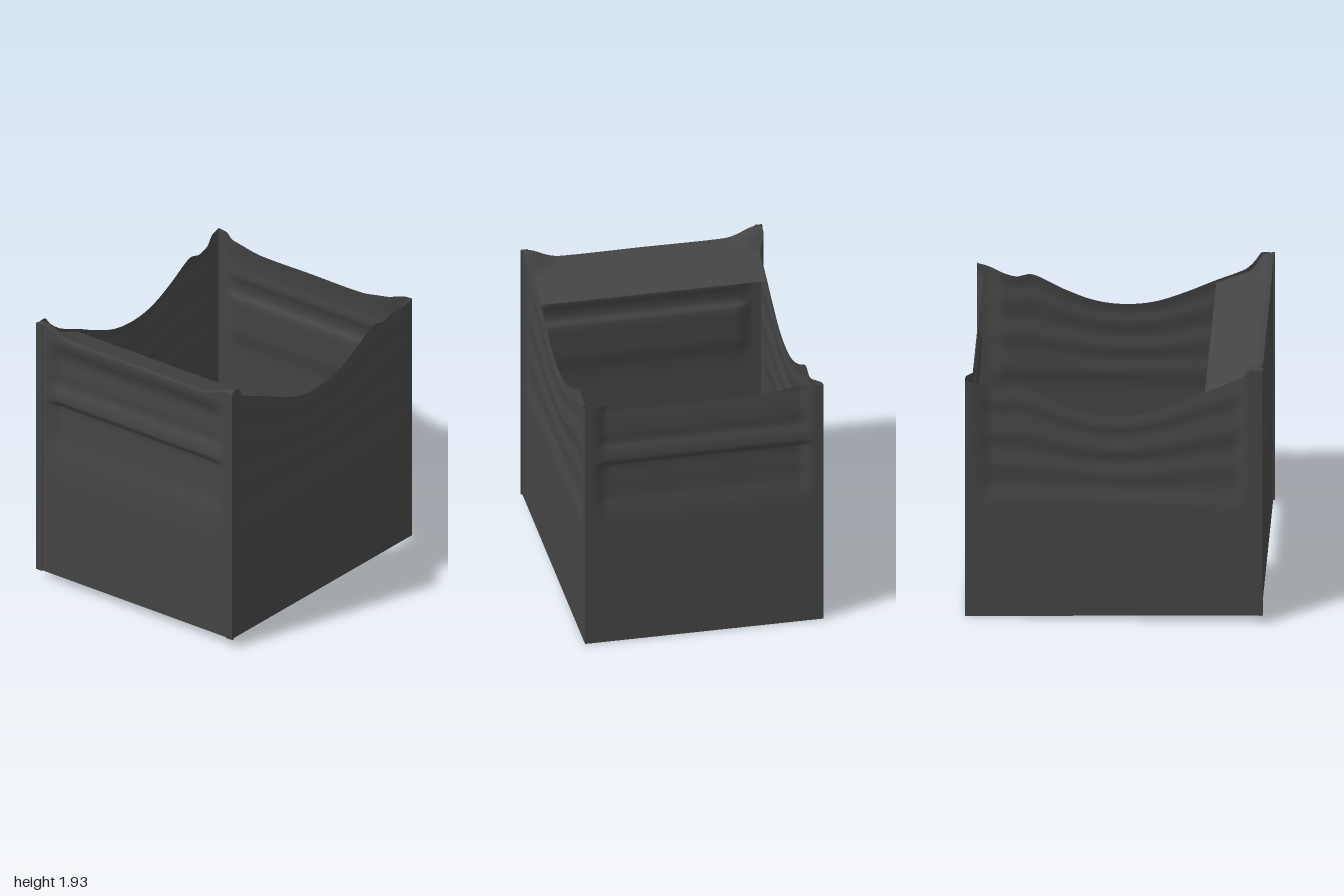
import * as THREE from 'three';

// Smooth curve y(x) through a few points (cubic Hermite, clamped at both ends)
function profile(pts) {
  const slope = (i) => {
    const a = pts[Math.max(i - 1, 0)], b = pts[Math.min(i + 1, pts.length - 1)];
    return (b[1] - a[1]) / (b[0] - a[0]);
  };
  return (x) => {
    x = Math.min(Math.max(x, pts[0][0]), pts[pts.length - 1][0]);
    let i = 0;
    while (i < pts.length - 2 && x > pts[i + 1][0]) i++;
    const [x0, y0] = pts[i], [x1, y1] = pts[i + 1];
    const h = x1 - x0, t = (x - x0) / h, t2 = t * t, t3 = t2 * t;
    return (2 * t3 - 3 * t2 + 1) * y0 + (t3 - 2 * t2 + t) * h * slope(i)
      + (3 * t2 - 2 * t3) * y1 + (t3 - t2) * h * slope(i + 1);
  };
}

const smooth = THREE.MathUtils.smoothstep;
const lerp = THREE.MathUtils.lerp;
const X = 0.99, Z = 0.815;

// Rim heights
const sagRim = profile([[-1, 1.925], [-0.91, 1.925], [-0.87, 1.87], [-0.8, 1.815], [-0.6, 1.725],
  [-0.4, 1.63], [-0.2, 1.555], [0, 1.53], [0.2, 1.553], [0.4, 1.63], [0.58, 1.725], [0.64, 1.74],
  [0.73, 1.72], [0.85, 1.755], [1, 1.795]]);
const lowRim = profile([[0, 1.735], [0.42, 1.735], [0.58, 1.762], [0.7, 1.785], [0.82, 1.797]]);
const highRim = profile([[0, 1.853], [0.56, 1.853], [0.64, 1.87], [0.75, 1.918], [0.82, 1.925]]);

// How far the cloth is drawn inward at each height
const sideFolds = profile([[0, 0], [0.86, 0], [0.97, 0.008], [1.08, 0.03], [1.2, 0.036], [1.33, 0.038],
  [1.37, 0.012], [1.44, 0.016], [1.5, 0.034], [1.57, 0.032], [1.64, 0.036], [1.74, 0.05]]);
const drapeFolds = profile([[0, 0], [0.82, 0], [0.9, 0.004], [1.0, 0.024], [1.12, 0.02], [1.22, 0.032],
  [1.32, 0.022], [1.44, 0.036], [1.52, 0.03], [1.6, 0.042]]);

const floorY = (x) => 0.03 * (1 - x);

// Rows are packed into the folded upper half of a wall
function rowHeight(v, low, top) {
  return v < 0.1 ? lerp(low, 0.8, v / 0.1) : lerp(0.8, top, (v - 0.1) / 0.9);
}

// Grid surface from a rule at(u, v) -> [x, y, z]
function sheet(name, nu, nv, at, material) {
  const pos = [], index = [];
  for (let j = 0; j <= nv; j++) {
    for (let i = 0; i <= nu; i++) {
      pos.push(...at(i / nu, j / nv));
      if (i < nu && j < nv) {
        const a = j * (nu + 1) + i, b = a + 1, c = a + nu + 1, d = c + 1;
        index.push(a, b, d, a, d, c);
      }
    }
  }
  const g = new THREE.BufferGeometry();
  g.setAttribute('position', new THREE.Float32BufferAttribute(pos, 3));
  g.setIndex(index);
  g.computeVertexNormals();
  const m = new THREE.Mesh(g, material);
  m.name = name;
  return m;
}

export function createModel() {
  const group = new THREE.Group();
  group.name = 'openClothBox';
  const cloth = new THREE.MeshStandardMaterial({ color: 0x444444, side: THREE.DoubleSide });
  cloth.name = 'charcoal cloth';

  // Sagging front and back walls with draped folds
  for (const s of [1, -1]) {
    group.add(sheet(s > 0 ? 'frontWall' : 'backWall', 120, 80, (u, v) => {
      const x = s * lerp(-X, X, u), top = sagRim(x);
      const y = rowHeight(v, floorY(x), top);
      const h = y < 0.95 ? y : 0.95 + (y - 0.95) / (top - 0.95) * 0.65;
      const mask = smooth(x, -0.91, -0.8) * (1 - smooth(x, 0.8, 0.94));
      return [x, y, s * (Z - mask * drapeFolds(h))];
    }, cloth));
  }

  // Side walls with horizontal folds; the right one stays straight at its rim
  for (const s of [1, -1]) {
    group.add(sheet(s > 0 ? 'leftWall' : 'rightWall', 80, 100, (u, v) => {
      const z = s * lerp(Z, -Z, u), rim = s > 0 ? lowRim : highRim;
      const y = rowHeight(v, floorY(s * X), rim(Math.abs(z)));
      const mask = 1 - smooth(Math.abs(z), 0.65, 0.76);
      const fade = s > 0 ? 1 : 1 - smooth(y, 1.65, 1.84);
      return [s * (X - mask * fade * sideFolds(y)), y, z];
    }, cloth));
  }

  // Flap sloping inward from the high rim, rising to the corner posts
  group.add(sheet('topFlap', 30, 60, (u, v) => {
    const x = lerp(-X, -0.61, u);
    const half = Z - 0.045 * smooth(x, -0.92, -0.8);
    const z = lerp(half, -half, v);
    const slope = lerp(1.853, 1.71, Math.max(0, (x + 0.95) / 0.34));
    const lift = (highRim(Math.abs(z)) - 1.853) * (1 - smooth(x, -0.94, -0.84));
    return [x, slope + lift, z];
  }, cloth));

  // Slim posts along the two high corners
  for (const s of [1, -1]) {
    const bottom = 0.06, top = 1.925;
    const post = new THREE.Mesh(new THREE.BoxGeometry(0.02, top - bottom, 0.05), cloth);
    post.position.set(-0.99, (top + bottom) / 2, s * 0.8);
    post.name = s > 0 ? 'frontCornerPost' : 'backCornerPost';
    group.add(post);
  }
  return group;
}
